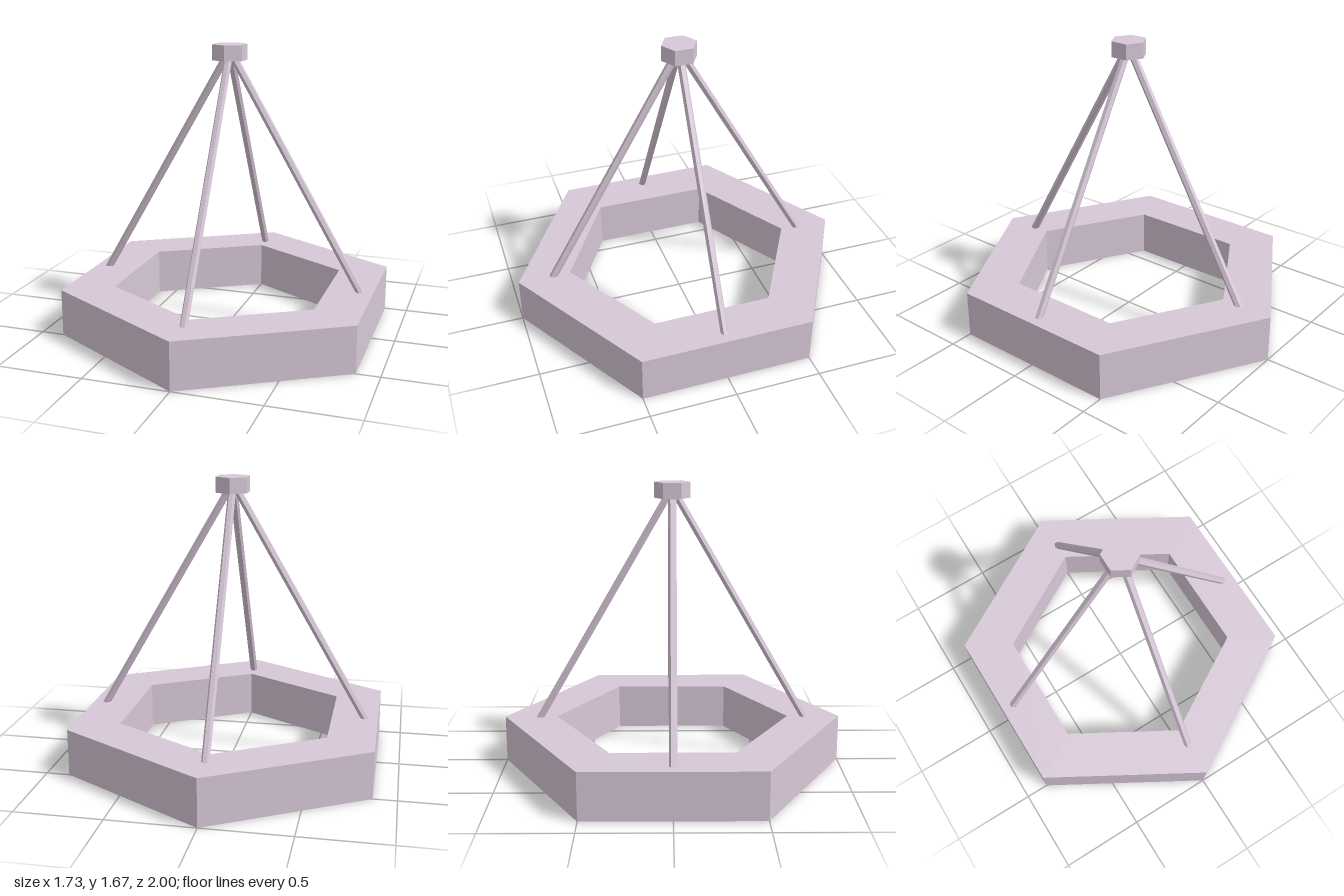
import * as THREE from 'three';

export function createModel() {
  const group = new THREE.Group();
  const material = new THREE.MeshStandardMaterial({ color: 0xd8c8d8, flatShading: true });

  const add = (name, geometry, parent = group) => {
    const mesh = new THREE.Mesh(geometry, material);
    mesh.name = name;
    parent.add(mesh);
    return mesh;
  };

  // Hexagonal base ring: a channel section, hollow and open underneath
  const outer = 1, inner = 0.69, height = 0.275, wall = 0.035;
  const section = [
    [outer, 0], [outer, height], [inner, height], [inner, 0],
    [inner + wall, 0], [inner + wall, height - wall],
    [outer - wall, height - wall], [outer - wall, 0], [outer, 0],
  ].map(([r, y]) => new THREE.Vector2(r, y));
  add('baseRing', new THREE.LatheGeometry(section, 6));

  // Four six-sided struts leaning in to the apex
  const apex = new THREE.Vector3(0, 1.64, 0);
  const foot = new THREE.Vector3(0.8, 0.255, 0);
  const direction = apex.clone().sub(foot);
  const up = new THREE.Vector3(0, 1, 0);
  for (let i = 0; i < 4; i++) {
    const pivot = new THREE.Group();
    pivot.name = `strut${i + 1}`;
    pivot.rotation.y = i * Math.PI / 2;
    group.add(pivot);
    const rod = add('strutRod', new THREE.CylinderGeometry(0.023, 0.023, direction.length(), 6), pivot);
    rod.position.copy(apex).add(foot).multiplyScalar(0.5);
    rod.quaternion.setFromUnitVectors(up, direction.clone().normalize());
  }

  // Hexagonal cap joining the struts
  add('topCap', new THREE.CylinderGeometry(0.103, 0.103, 0.09, 6)).position.y = 1.63;

  return group;
}
